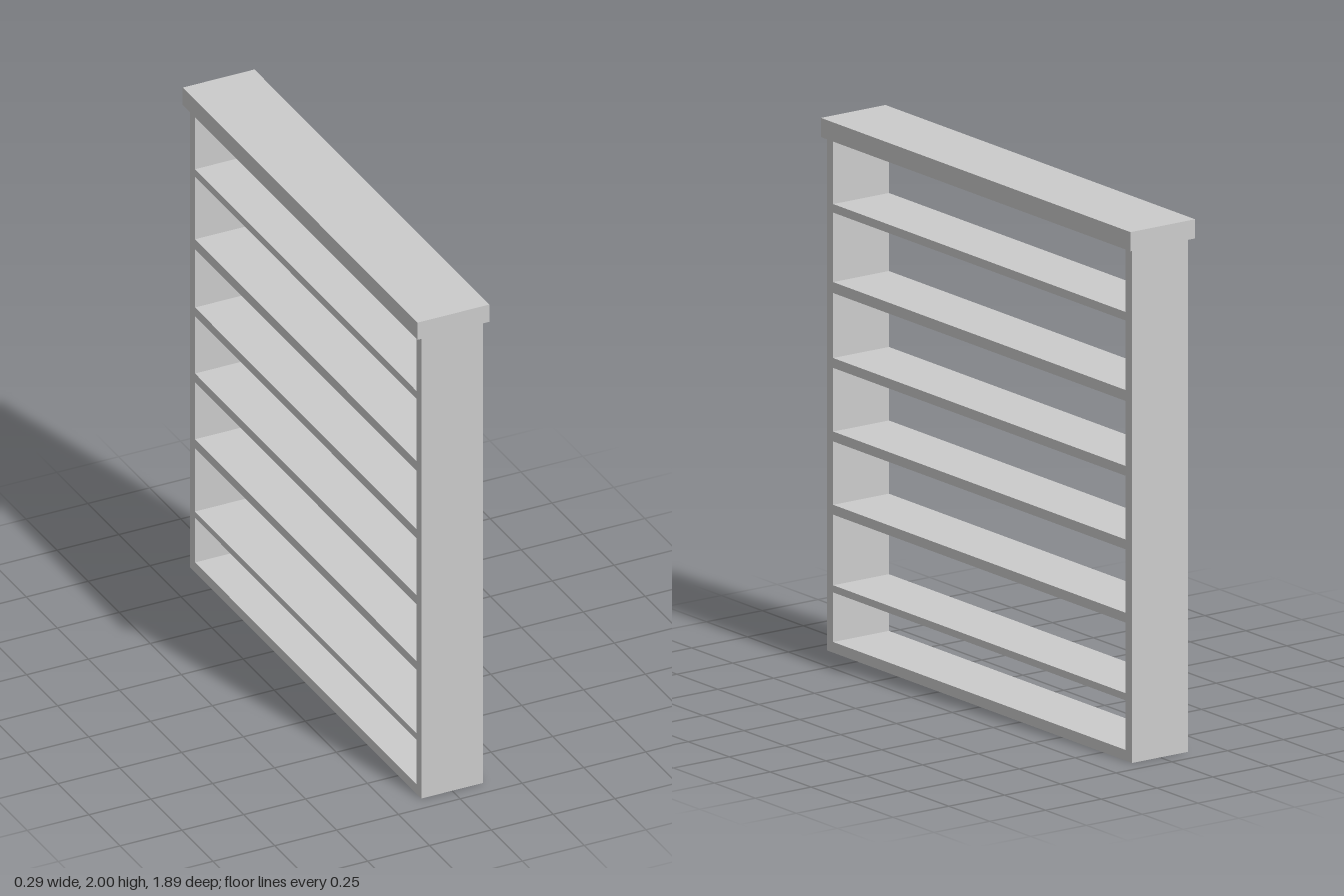
import * as THREE from 'three';

const material = new THREE.MeshStandardMaterial({ color: 0xcccccc, flatShading: true });

// Board centred on x, spanning y0..y1 and z0..z1
function board(name, width, y0, y1, z0, z1) {
  const mesh = new THREE.Mesh(new THREE.BoxGeometry(width, y1 - y0, z1 - z0), material);
  mesh.position.set(0, (y0 + y1) / 2, (z0 + z1) / 2);
  mesh.name = name;
  return mesh;
}

export function createModel() {
  const model = new THREE.Group();
  model.name = 'shelfUnit';

  const depth = 0.25;
  const topY = 1.928;
  const innerFront = 0.897;
  const innerBack = -0.886;

  // Overhanging top board
  model.add(board('topBoard', 0.29, topY, 2, -0.945, 0.945));

  // Upright end panels
  model.add(board('frontPanel', depth, 0, topY, innerFront, 0.935));
  model.add(board('backPanel', depth, 0, topY, -0.928, innerBack));

  // Base board and shelves: [bottom, top] heights
  const levels = [
    [0, 0.04], [0.226, 0.253], [0.518, 0.555], [0.793, 0.83],
    [1.069, 1.106], [1.35, 1.391], [1.652, 1.684],
  ];
  levels.forEach(([y0, y1], i) => {
    model.add(board(i === 0 ? 'baseBoard' : `shelf${i}`, depth, y0, y1, innerBack, innerFront));
  });

  return model;
}
